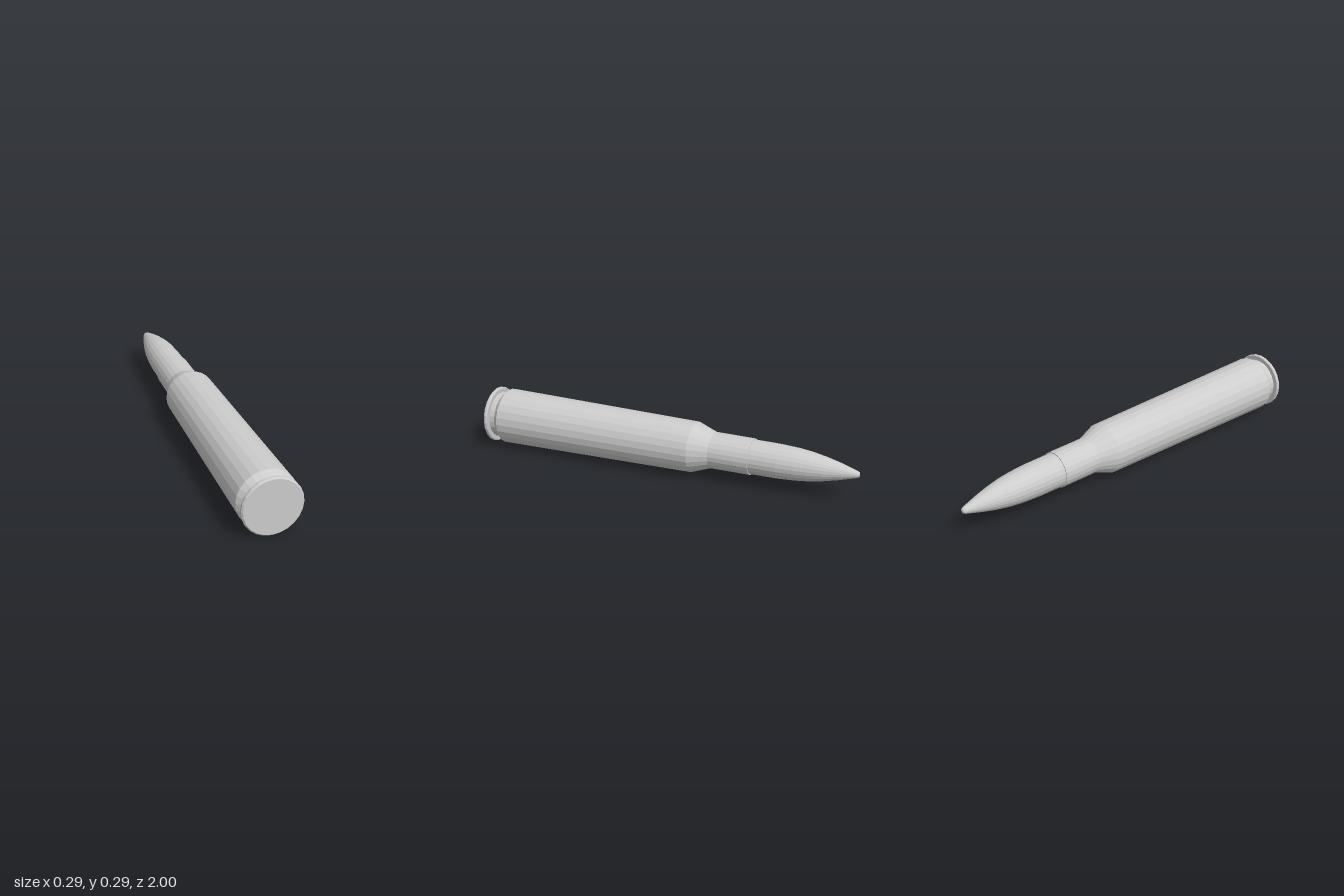
import * as THREE from 'three';

const SIDES = 24;
const RADIUS = 0.147;

export function createModel() {
  const model = new THREE.Group();
  model.name = 'cartridge';
  const metal = new THREE.MeshStandardMaterial({ color: 0xcccccc, flatShading: true });
  metal.name = 'grey metal';

  // Turns a [radius, z] profile, listed from +z to -z, about the long axis
  function turned(name, profile) {
    const points = profile.map(([r, z]) => new THREE.Vector2(r, -z));
    const geometry = new THREE.LatheGeometry(points, SIDES);
    geometry.rotateX(-Math.PI / 2);
    geometry.translate(0, RADIUS, 0);
    const mesh = new THREE.Mesh(geometry, metal);
    mesh.name = name;
    model.add(mesh);
  }

  // Bevelled base rim with its flat end
  turned('rim', [[0, 1], [0.14, 1], [0.147, 0.993], [0.147, 0.981], [0.143, 0.977], [0.12, 0.977]]);

  // Groove between the rim and the case
  turned('extractorGroove', [[0.12, 0.977], [0.12, 0.948], [0.146, 0.92]]);

  // Tapered case, shoulder and neck, closed by the step at the mouth
  turned('caseBody', [[0.146, 0.92], [0.146, 0.91], [0.13, -0.155]]);
  turned('shoulder', [[0.13, -0.155], [0.093, -0.255]]);
  turned('neck', [[0.093, -0.255], [0.092, -0.462], [0.086, -0.462]]);

  // Pointed tip with a small blunt nose
  turned('bullet', [
    [0.087, -0.462], [0.086, -0.6], [0.081, -0.69], [0.073, -0.76],
    [0.06, -0.83], [0.043, -0.9], [0.018, -0.985], [0.012, -0.997], [0, -1],
  ]);

  return model;
}
